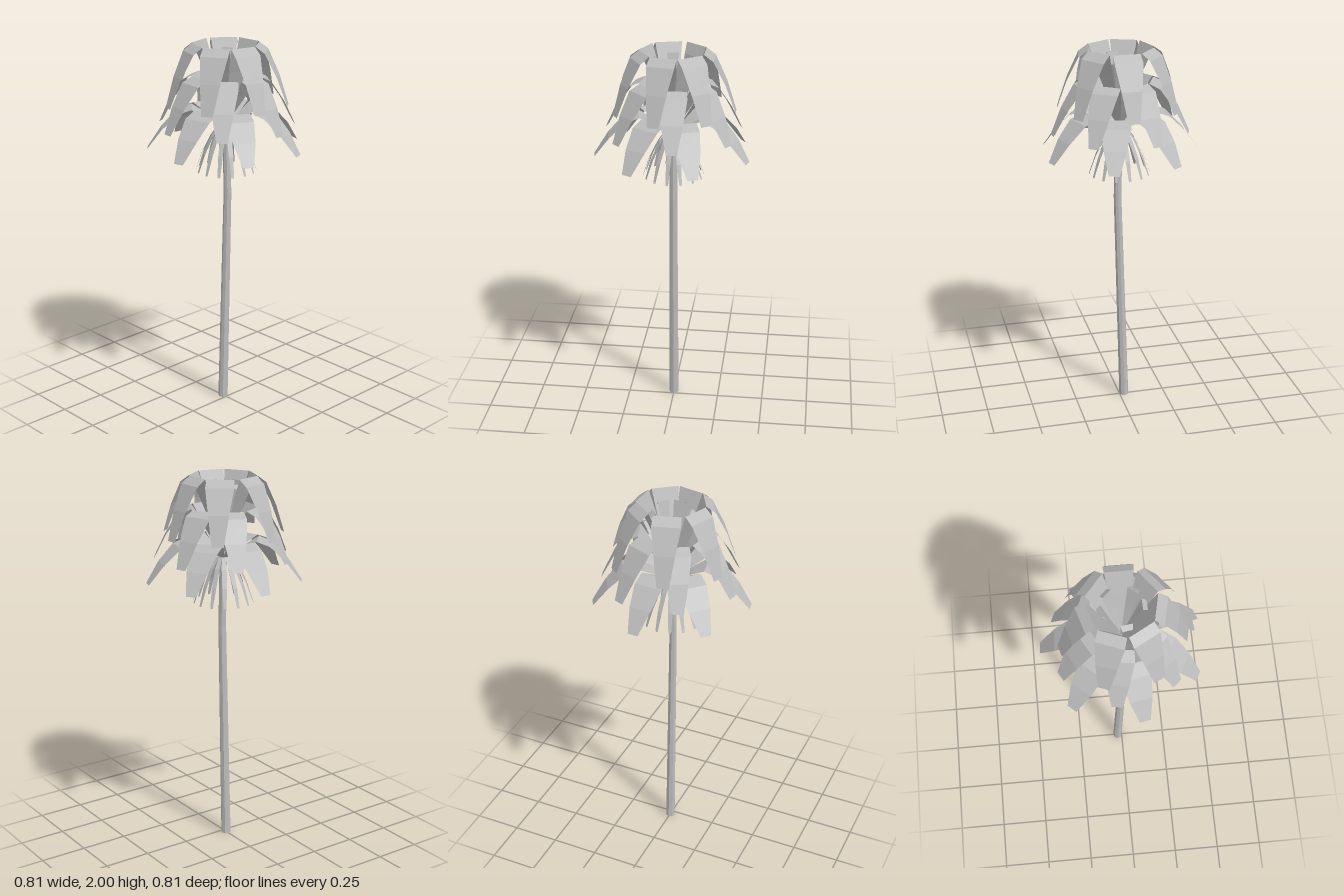
import * as THREE from 'three';

const grey = new THREE.MeshStandardMaterial({ color: 0xbbbbbb, flatShading: true, side: THREE.DoubleSide });
grey.name = 'plain grey';

// A strip along +x from cross-sections [radius, height, width]
function stripGeometry(rows) {
  const positions = [], index = [];
  rows.forEach(([r, y, w], i) => {
    positions.push(r, y, w / 2, r, y, -w / 2);
    if (i) {
      const a = 2 * i - 2;
      index.push(a, a + 2, a + 1, a + 1, a + 2, a + 3);
    }
  });
  const geometry = new THREE.BufferGeometry();
  geometry.setAttribute('position', new THREE.Float32BufferAttribute(positions, 3));
  geometry.setIndex(index);
  geometry.computeVertexNormals();
  return geometry;
}

// A ring of equal strips; angles run from +x (right) towards +z (front)
function ring(name, rows, angles) {
  const group = new THREE.Group();
  group.name = name;
  const geometry = stripGeometry(rows);
  for (const angle of angles) {
    const leaf = new THREE.Mesh(geometry, grey);
    leaf.name = name + 'Leaf';
    leaf.rotation.y = -THREE.MathUtils.degToRad(angle);
    group.add(leaf);
  }
  return group;
}

// Slightly bent stem
function createStem() {
  const height = 1.6;
  const geometry = new THREE.CylinderGeometry(0.019, 0.026, height, 8, 8);
  geometry.translate(0, height / 2, 0);
  const p = geometry.attributes.position;
  for (let i = 0; i < p.count; i++) {
    const y = p.getY(i);
    const bend = y < 1.2 ? -0.025 + 0.035 * (y / 1.2) : 0.01 - 0.01 * (y - 1.2) / 0.4;
    p.setX(i, p.getX(i) + bend);
  }
  geometry.computeVertexNormals();
  const stem = new THREE.Mesh(geometry, grey);
  stem.name = 'stem';
  return stem;
}

export function createModel() {
  const model = new THREE.Group();
  model.name = 'droopingFlower';
  model.add(createStem());

  // Thin sepals hanging below the petals
  const sepals = Array.from({ length: 14 }, (_, i) => i * 360 / 14 + 6);
  model.add(ring('sepal', [
    [0, 1.56, 0.008], [0.04, 1.575, 0.02], [0.08, 1.52, 0.026], [0.125, 1.43, 0.024], [0.16, 1.33, 0.014],
  ], sepals));

  // Three tiers of drooping petals
  model.add(ring('lowerPetal', [
    [0, 1.56, 0.01], [0.11, 1.63, 0.1], [0.18, 1.67, 0.15], [0.25, 1.645, 0.15], [0.335, 1.56, 0.115], [0.41, 1.455, 0.055],
  ], [-73, -20, 28, 79, 132, 184, 238]));
  model.add(ring('middlePetal', [
    [0, 1.58, 0.01], [0.1, 1.74, 0.1], [0.165, 1.835, 0.14], [0.22, 1.81, 0.15], [0.295, 1.7, 0.11], [0.36, 1.57, 0.055],
  ], [-56, -5, 47, 99, 151, 203, 251]));
  model.add(ring('upperPetal', [
    [0, 1.6, 0.01], [0.105, 1.87, 0.1], [0.16, 2, 0.14], [0.207, 1.965, 0.145], [0.268, 1.84, 0.105], [0.32, 1.69, 0.06],
  ], [-90, -37, 12, 61, 111, 164, 220]));

  // Small upright petals in the heart
  model.add(ring('innerPetal', [
    [0, 1.62, 0.01], [0.06, 1.82, 0.045], [0.095, 1.96, 0.06], [0.118, 1.94, 0.05],
  ], [-52, -2, 82, 171, 227]));

  return model;
}
